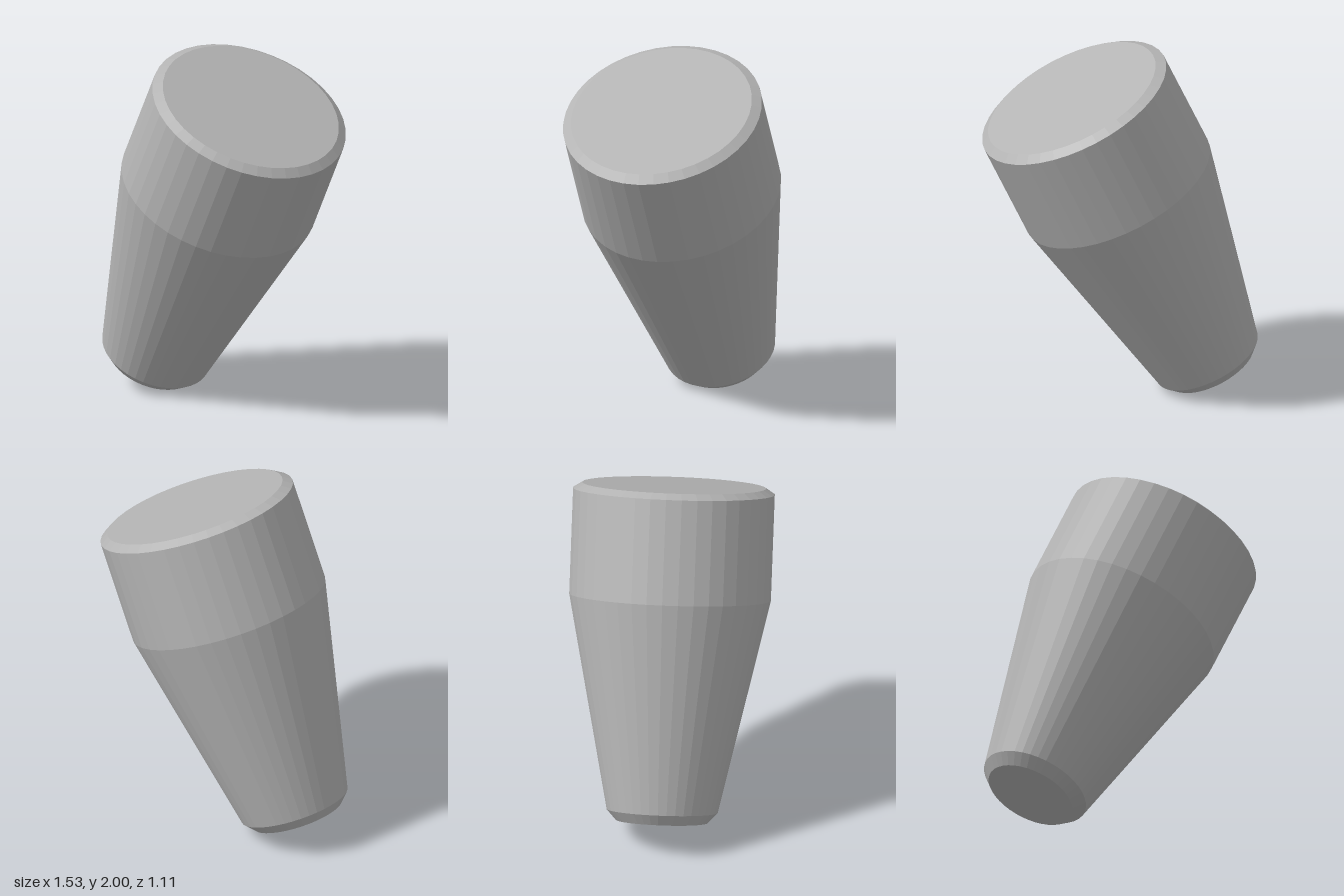
import * as THREE from 'three';

// Tilted tapered plug: chamfered foot, flared shaft, straight collar, chamfered flat top
export function createModel() {
  const group = new THREE.Group();
  const grey = new THREE.MeshStandardMaterial({ color: 0xb4b4b4, flatShading: true });
  grey.name = 'grey';

  const tilt = THREE.MathUtils.degToRad(25.1);
  const body = new THREE.Group();
  body.name = 'taperedPlug';
  body.rotation.z = -tilt;
  group.add(body);

  // Profile rings as [radius, height along the axis]
  const rings = {
    base: [0.253, 0], foot: [0.306, 0.058], shoulder: [0.556, 1.24],
    rim: [0.556, 1.823], top: [0.506, 1.855],
  };
  const addPart = (name, ...points) => {
    const profile = points.map(([r, h]) => new THREE.Vector2(r, h));
    const mesh = new THREE.Mesh(new THREE.LatheGeometry(profile, 40), grey);
    mesh.name = name;
    body.add(mesh);
  };
  addPart('chamferedFoot', [0, 0], rings.base, rings.foot);
  addPart('taperedShaft', rings.foot, rings.shoulder);
  addPart('straightCollar', rings.shoulder, rings.rim);
  addPart('chamferedTop', rings.rim, rings.top, [0, rings.top[1]]);

  // Stand the tilted body on the ground, centred
  const box = new THREE.Box3().setFromObject(group, true);
  const centre = box.getCenter(new THREE.Vector3());
  body.position.set(-centre.x, -box.min.y, -centre.z);
  return group;
}
